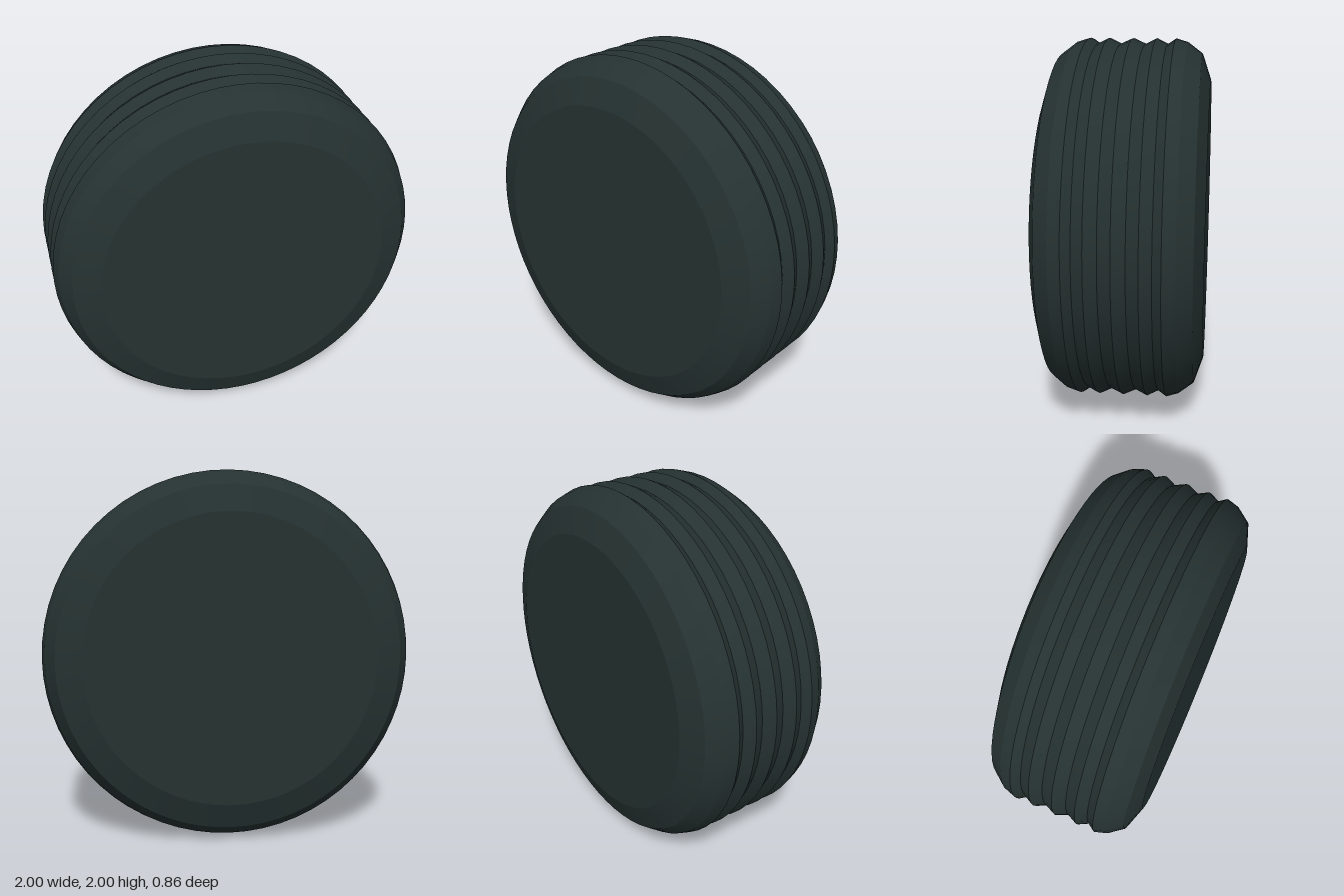
import * as THREE from 'three';
import { toCreasedNormals } from 'three/addons/utils/BufferGeometryUtils.js';

const SEGMENTS = 64;

// Spins a [radius, z] profile around the z axis, smooth around and sharp between rings
function ring(name, profile, material) {
  const points = profile.map(([r, z]) => new THREE.Vector2(r, z));
  const geometry = new THREE.LatheGeometry(points, SEGMENTS).rotateX(Math.PI / 2);
  const mesh = new THREE.Mesh(toCreasedNormals(geometry, 0.2), material);
  mesh.name = name;
  return mesh;
}

export function createModel() {
  const rubber = new THREE.MeshStandardMaterial({ color: 0x253231 });
  rubber.name = 'dark rubber';

  const wheel = new THREE.Group();
  wheel.name = 'wheel';
  wheel.position.y = 1;

  // Grooved tread: ridges at radius 1 with V-shaped valleys between
  const half = [[1, 0.235], [0.97, 0.19], [1, 0.13], [0.97, 0.067]];
  const mirrored = half.map(([r, z]) => [r, -z]);
  wheel.add(ring('tread', [...mirrored, [1, 0], ...half.slice().reverse()], rubber));

  // Rounded shoulder and closed flat face on each side
  const shoulder = [[1, 0.235], [0.98, 0.3], [0.92, 0.38], [0.78, 0.428]];
  for (const side of ['front', 'back']) {
    const part = new THREE.Group();
    part.name = side + 'Side';
    const face = new THREE.Mesh(new THREE.CircleGeometry(0.78, SEGMENTS), rubber);
    face.name = side + 'Face';
    face.position.z = 0.428;
    part.add(ring(side + 'Shoulder', shoulder, rubber), face);
    if (side === 'back') part.rotation.y = Math.PI;
    wheel.add(part);
  }

  const model = new THREE.Group();
  model.name = 'tyre';
  model.add(wheel);
  return model;
}
